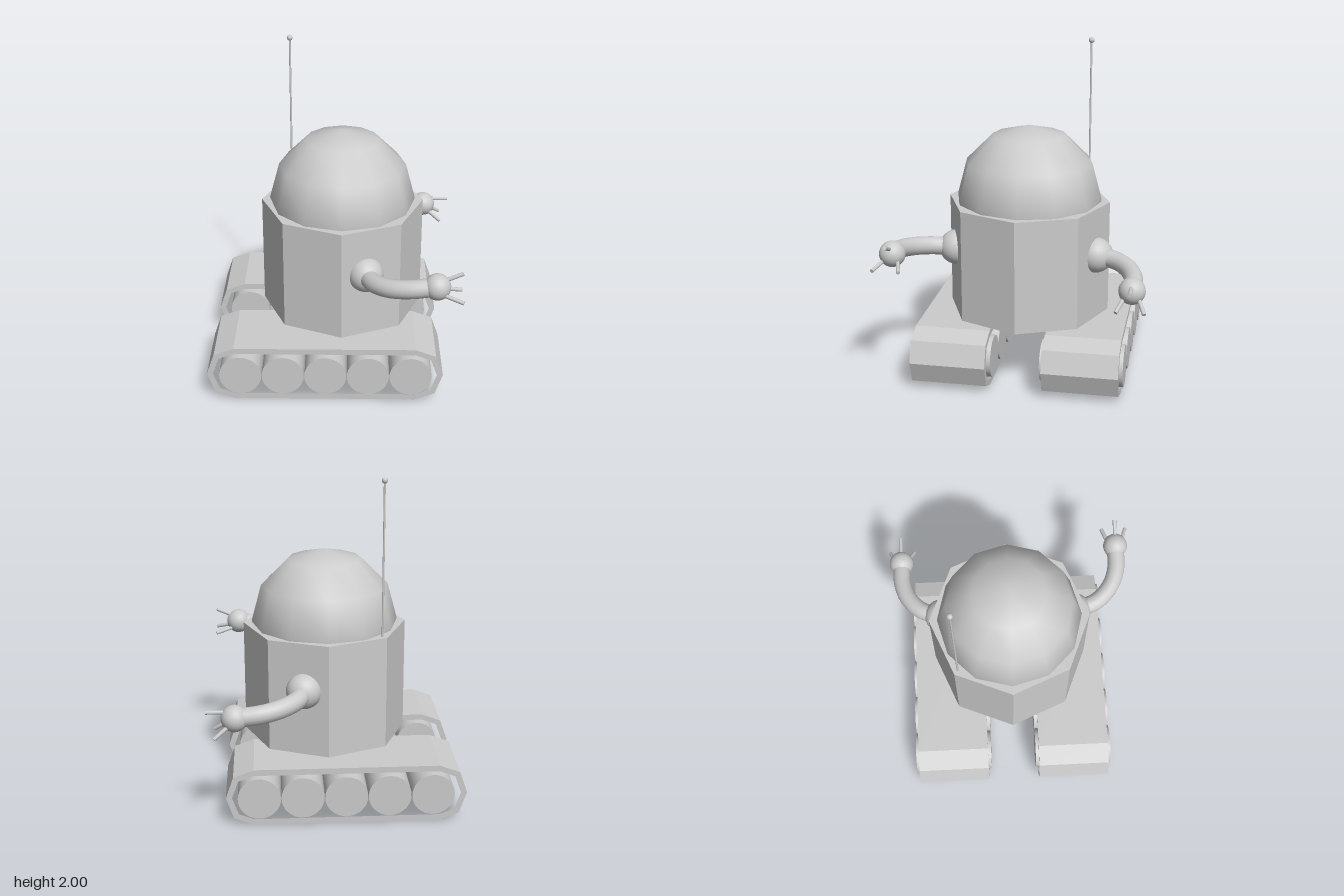
import * as THREE from 'three';

const material = new THREE.MeshStandardMaterial({ color: 0xcccccc });
const flat = new THREE.MeshStandardMaterial({ color: 0xcccccc, flatShading: true });
const V = (x, y, z) => new THREE.Vector3(x, y, z);

function add(parent, name, geometry, position = V(0, 0, 0), mat = material) {
  const mesh = new THREE.Mesh(geometry, mat);
  mesh.name = name;
  mesh.position.copy(position);
  parent.add(mesh);
  return mesh;
}

// Round rod between two points
function rod(parent, name, a, b, radius) {
  const dir = b.clone().sub(a);
  const mesh = add(parent, name, new THREE.CylinderGeometry(radius, radius, dir.length(), 8),
    a.clone().add(b).multiplyScalar(0.5));
  mesh.quaternion.setFromUnitVectors(V(0, 1, 0), dir.normalize());
}

// Stretched octagonal loop, pulled inward by t
function trackLoop(PathType, t) {
  const right = [[0.49, 0.175 - t], [0.61 - 0.8 * t, 0.13 - 0.7 * t], [0.655 - t, 0]];
  const pts = [];
  for (const [x, y] of right) pts.push([x, y]);
  for (const i of [1, 0]) pts.push([right[i][0], -right[i][1]]);
  // the other end mirrors about the track middle
  const other = pts.slice().reverse().map(([x, y]) => [-0.107 - x, y]);
  return new PathType([...pts, ...other].map(([x, y]) => new THREE.Vector2(x, y)));
}

function createTrack(z) {
  const track = new THREE.Group();
  track.name = 'track';
  track.position.set(0, 0.18, z);
  const shape = trackLoop(THREE.Shape, 0);
  shape.holes.push(trackLoop(THREE.Path, 0.036));
  const belt = new THREE.ExtrudeGeometry(shape, { depth: 0.453, bevelEnabled: false });
  add(track, 'belt', belt.translate(0, 0, -0.2265), undefined, flat);
  for (let i = 0; i < 5; i++) {
    const wheel = new THREE.CylinderGeometry(0.126, 0.126, 0.493, 32).rotateX(Math.PI / 2);
    add(track, 'wheel', wheel, V(-0.56 + i * 0.255, 0, 0));
  }
  return track;
}

// side: +1 front arm, -1 back arm; fingers are start/end pairs relative to the hand
function createArm(side, shoulder, hand, fingers) {
  const arm = new THREE.Group();
  arm.name = side > 0 ? 'frontArm' : 'backArm';
  add(arm, 'shoulder', new THREE.SphereGeometry(0.107, 24, 16), shoulder);
  const at = (x, k, h) => V(x, THREE.MathUtils.lerp(shoulder.y, hand.y, h),
    THREE.MathUtils.lerp(shoulder.z, hand.z, k));
  const path = new THREE.CatmullRomCurve3([
    shoulder, at(0.235, 0.5, 0.2), at(0.325, 0.82, 0.45), at(0.44, 0.98, 0.72), hand]);
  add(arm, 'forearm', new THREE.TubeGeometry(path, 24, 0.055, 16));
  add(arm, 'hand', new THREE.SphereGeometry(0.078, 20, 14), hand);
  for (const [a, b] of fingers) {
    rod(arm, 'finger', hand.clone().add(V(...a)), hand.clone().add(V(...b)), 0.012);
  }
  return arm;
}

export function createModel() {
  const model = new THREE.Group();
  model.name = 'trackedRobot';
  const cx = 0.045, cz = -0.017;

  // Eight-sided body and faceted dome head
  add(model, 'body', new THREE.CylinderGeometry(0.495, 0.495, 0.69, 8), V(cx, 0.71, cz), flat);
  add(model, 'dome', new THREE.SphereGeometry(0.445, 12, 4, 0, Math.PI * 2, 0, Math.PI * 2 / 3),
    V(cx, 1.07, cz));

  // Antenna
  rod(model, 'antenna', V(-0.28, 1.05, -0.345), V(-0.28, 1.98, -0.345), 0.006);
  add(model, 'antennaTip', new THREE.SphereGeometry(0.018, 12, 8), V(-0.28, 1.982, -0.345));

  // Tracks
  for (const z of [0.3695, -0.416]) model.add(createTrack(z));

  // Arms, each with three fingers
  model.add(createArm(1, V(0.187, 0.765, 0.408), V(0.59, 0.843, 0.695), [
    [[0.04, 0.04, 0], [0.145, 0.085, 0]],
    [[0.03, -0.03, 0.04], [0.147, -0.06, 0.082]],
    [[0.03, -0.03, -0.04], [0.147, -0.06, -0.075]]]));
  model.add(createArm(-1, V(0.187, 0.765, -0.446), V(0.59, 0.707, -0.703), [
    [[0.03, 0.038, 0], [0.163, 0.038, 0]],
    [[0.03, -0.03, 0.04], [0.115, -0.092, 0.08]],
    [[0.03, -0.03, -0.04], [0.115, -0.092, -0.08]]]));
  return model;
}
